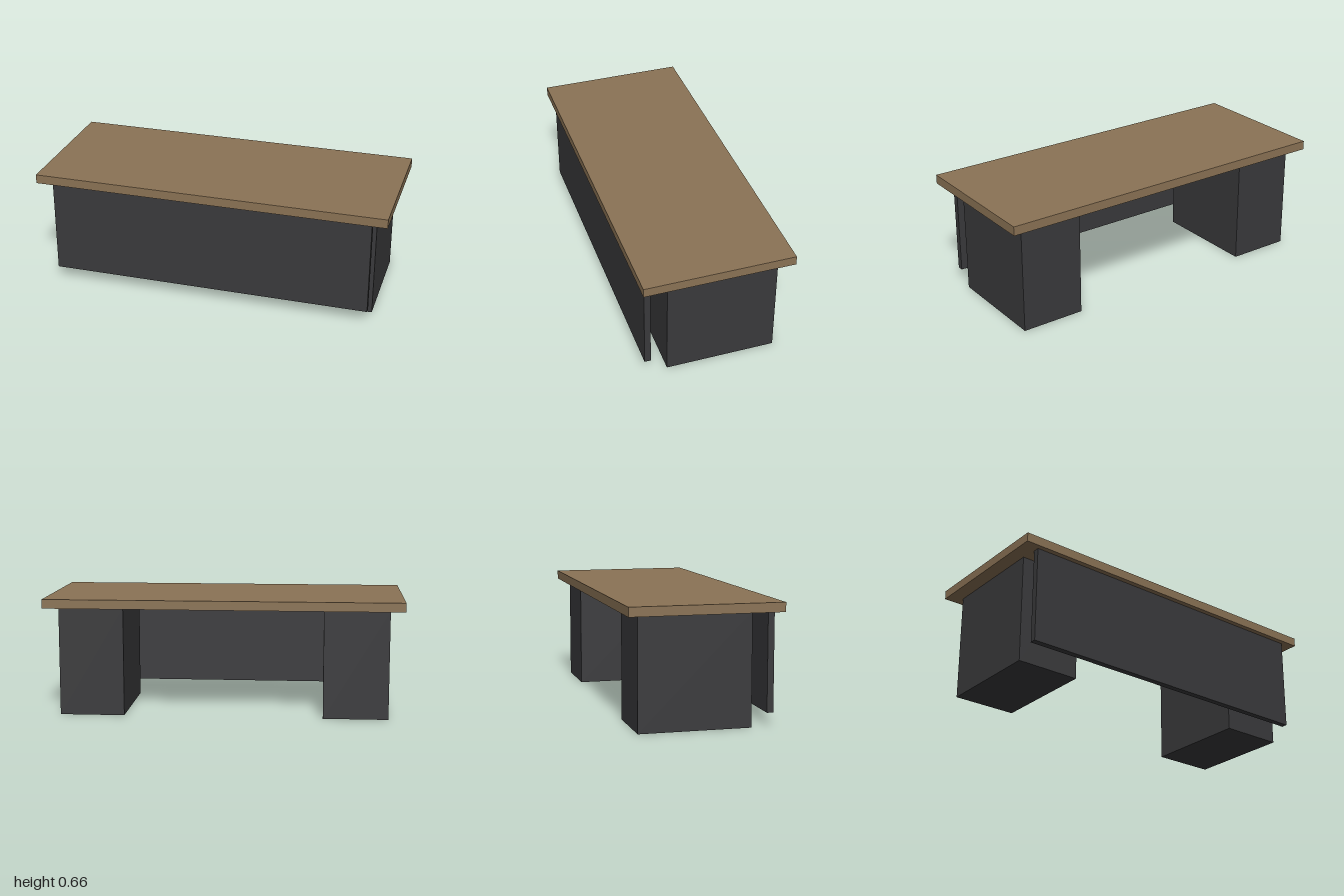
import * as THREE from 'three';

export function createModel() {
  const desk = new THREE.Group();
  desk.name = 'desk';

  const wood = new THREE.MeshStandardMaterial({ color: 0x8b7355 });
  wood.name = 'brown wood';
  const charcoal = new THREE.MeshStandardMaterial({ color: 0x3a3a3c });
  charcoal.name = 'charcoal';

  // Adds a box spanning two opposite corners
  function addBox(name, material, [x0, y0, z0], [x1, y1, z1]) {
    const mesh = new THREE.Mesh(new THREE.BoxGeometry(x1 - x0, y1 - y0, z1 - z0), material);
    mesh.position.set((x0 + x1) / 2, (y0 + y1) / 2, (z0 + z1) / 2);
    mesh.name = name;
    desk.add(mesh);
    return mesh;
  }

  const topBottom = 0.611;

  addBox('desktop', wood, [-1, topBottom, -0.413], [1, 0.662, 0.413]);

  // Raised panel hung under the front edge
  addBox('modestyPanel', charcoal, [-0.913, 0.072, 0.349], [0.913, topBottom, 0.384]);

  // Solid pedestals, mirrored left and right
  for (const [name, side] of [['leftPedestal', 1], ['rightPedestal', -1]]) {
    const pedestal = addBox(name, charcoal, [0.558, 0, -0.348], [0.921, topBottom, 0.261]);
    pedestal.position.x *= side;
  }

  return desk;
}
